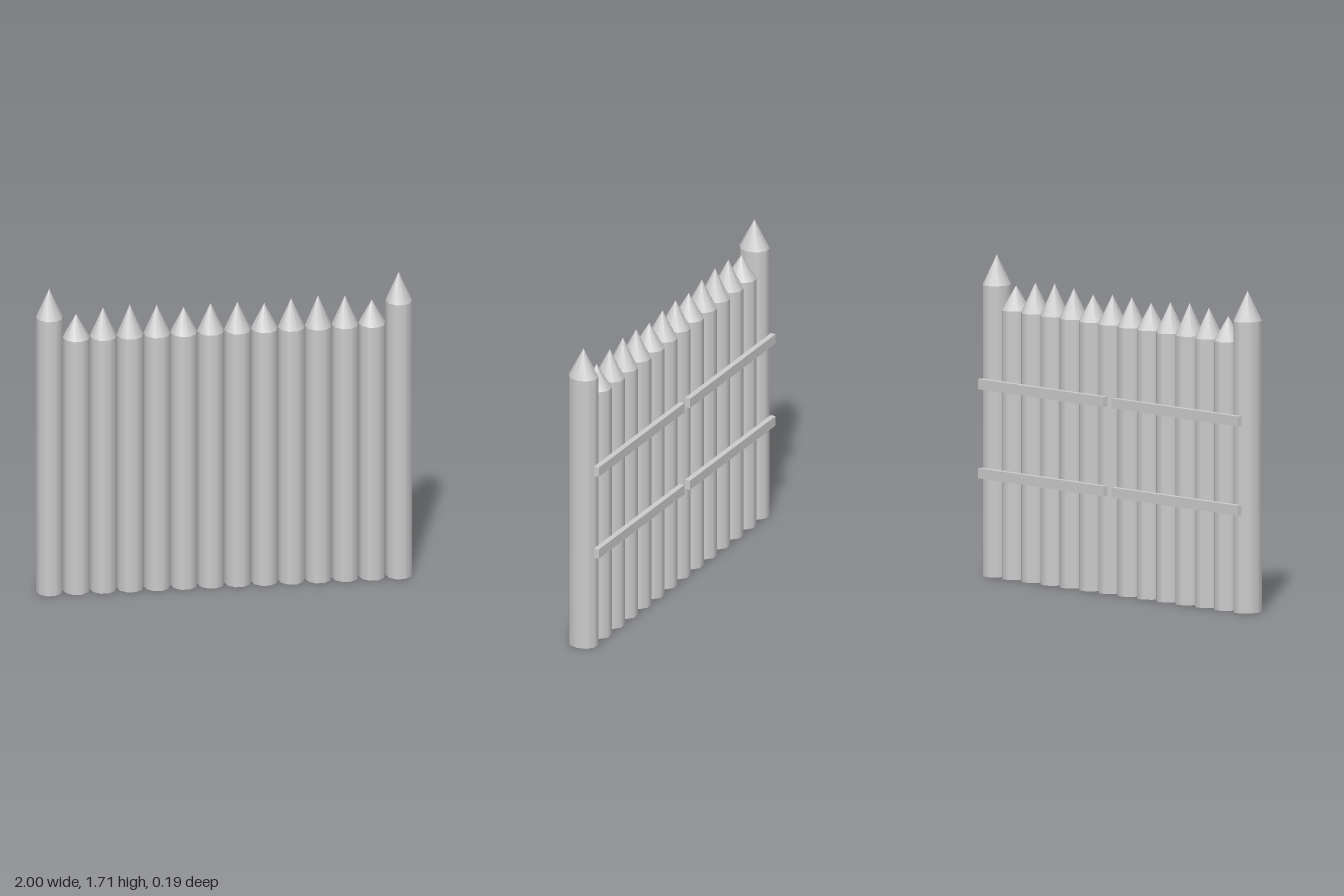
import * as THREE from 'three';

const SIDES = 10;
const RX = 0.0714, RZ = 0.083; // stakes are slightly deeper than wide
const STAKE_Z = 0.0155;
const PITCH = 1 / 7;

const wood = new THREE.MeshStandardMaterial({ color: 0xcccccc, side: THREE.DoubleSide });

function addMesh(parent, name, geometry, x, y, z) {
  const mesh = new THREE.Mesh(geometry, wood);
  mesh.name = name;
  mesh.position.set(x, y, z);
  parent.add(mesh);
}

// Open round trunk with a separate sharpened point
function makeStake(name, shoulder, tip) {
  const stake = new THREE.Group();
  stake.name = name;
  const trunk = new THREE.CylinderGeometry(1, 1, shoulder, SIDES, 1, true, Math.PI / 2);
  const point = new THREE.ConeGeometry(1, tip - shoulder, SIDES, 1, true, Math.PI / 2);
  for (const g of [trunk, point]) g.scale(RX, 1, RZ);
  addMesh(stake, 'trunk', trunk, 0, shoulder / 2, 0);
  addMesh(stake, 'point', point, 0, (shoulder + tip) / 2, 0);
  return stake;
}

export function createModel() {
  const gate = new THREE.Group();
  gate.name = 'palisadeGate';
  const tips = [1.585, 1.57, 1.59, 1.6, 1.59, 1.56]; // from the middle outwards

  for (const side of [-1, 1]) {
    const leaf = new THREE.Group();
    leaf.name = side > 0 ? 'leftLeaf' : 'rightLeaf';

    // Row of short stakes
    tips.forEach((tip, i) => {
      const stake = makeStake('stake', 1.43, tip);
      stake.position.set(side * (i + 0.5) * PITCH, 0, STAKE_Z);
      leaf.add(stake);
    });

    // Taller end post
    const post = makeStake('endPost', 1.55, 1.71);
    post.position.set(side * 6.5 * PITCH, 0, STAKE_Z);
    leaf.add(post);

    // Cross rails on the back
    for (const y of [0.552, 1.027]) {
      addMesh(leaf, 'rail', new THREE.BoxGeometry(0.93, 0.054, 0.03), side * 0.495, y, -0.079);
    }
    gate.add(leaf);
  }
  return gate;
}
